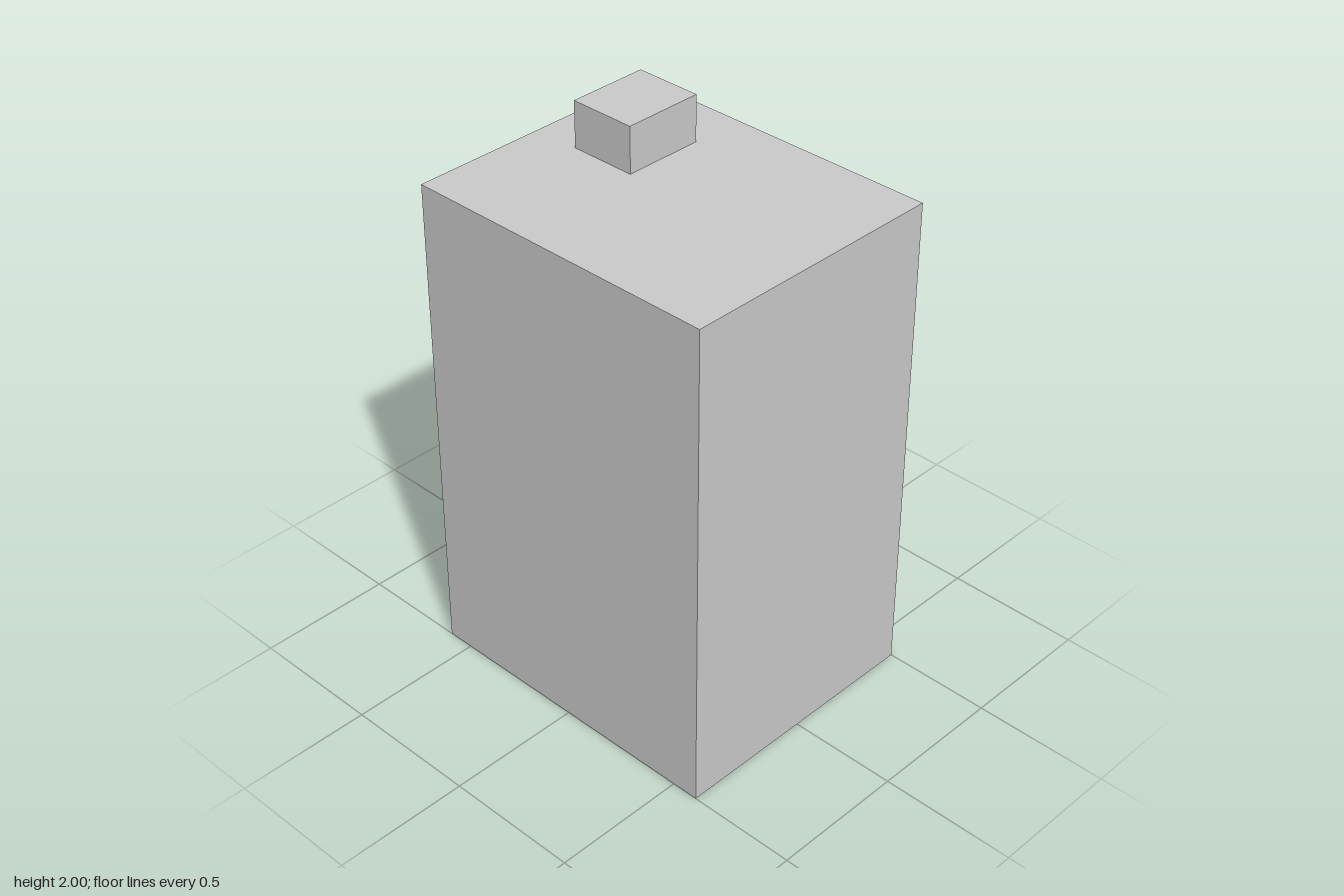
import * as THREE from 'three';

const W = 1.2, H = 1.83, D = 1.0;
const material = new THREE.MeshStandardMaterial({ color: 0xcccccc, flatShading: true });
const shellMaterial = new THREE.MeshStandardMaterial({ color: 0xcccccc, flatShading: true, side: THREE.DoubleSide });

// Box given by its low and high corners
function block(name, [x0, y0, z0], [x1, y1, z1]) {
  const geometry = new THREE.BoxGeometry(x1 - x0, y1 - y0, z1 - z0);
  geometry.translate((x0 + x1) / 2, (y0 + y1) / 2, (z0 + z1) / 2);
  const mesh = new THREE.Mesh(geometry, material);
  mesh.name = name;
  return mesh;
}

// Thin-walled building shell with no floor
function buildingShell() {
  const geometry = new THREE.BoxGeometry(W, H, D);
  const index = Array.from(geometry.index.array);
  index.splice(18, 6); // the downward face
  geometry.setIndex(index);
  geometry.clearGroups();
  geometry.translate(0, H / 2, 0);
  const mesh = new THREE.Mesh(geometry, shellMaterial);
  mesh.name = 'buildingShell';
  return mesh;
}

export function createModel() {
  const model = new THREE.Group();
  model.name = 'building';
  model.add(buildingShell());

  // Chimney on the flat roof
  model.add(block('chimney', [-0.425, H, -0.3], [-0.175, 2, 0]));

  // Fittings on the inside of the front wall
  const wall = D / 2 - 0.002;
  model.add(block('door', [-0.09, 0.23, wall - 0.06], [0.09, 0.46, wall]));
  for (const side of [-1, 1]) {
    const x = side * 0.365;
    const name = side < 0 ? 'rightWindow' : 'leftWindow';
    model.add(block(name, [x - 0.07, 0.34, wall - 0.04], [x + 0.07, 0.46, wall]));
  }
  model.add(block('awning', [-0.45, 0.64, wall - 0.08], [0.45, 0.76, wall]));

  return model;
}
